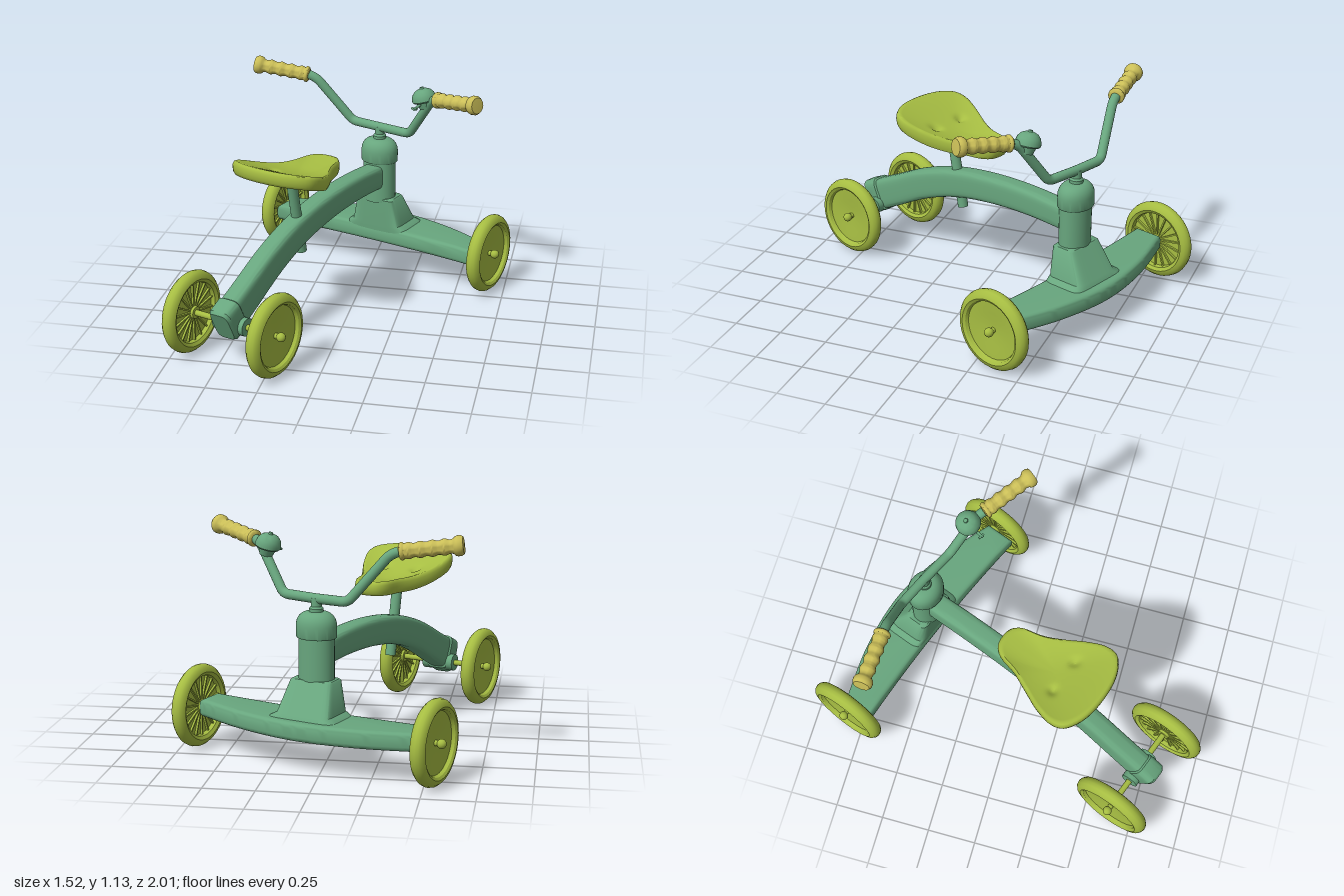
import * as THREE from 'three';
import { toCreasedNormals } from 'three/addons/utils/BufferGeometryUtils.js';

const V = (x, y, z) => new THREE.Vector3(x, y, z);
const green = new THREE.MeshStandardMaterial({ color: 0x68a67e });
const lime = new THREE.MeshStandardMaterial({ color: 0xa6bd42 });
const yellow = new THREE.MeshStandardMaterial({ color: 0xcbbf58 });

function add(parent, name, geometry, material, x = 0, y = 0, z = 0) {
  const mesh = new THREE.Mesh(geometry, material);
  mesh.name = name;
  mesh.position.set(x, y, z);
  parent.add(mesh);
  return mesh;
}

// Skin over closed rings of equal length, capped at both ends
function loft(rings, crease = 0.7) {
  const pos = [], n = rings[0].length;
  const tri = (...ps) => ps.forEach(p => pos.push(p.x, p.y, p.z));
  const mid = ring => ring.reduce((s, p) => s.add(p), V(0, 0, 0)).divideScalar(n);
  const first = rings[0], last = rings[rings.length - 1];
  const c0 = mid(first), c1 = mid(last);
  for (let j = 0; j < n; j++) {
    const k = (j + 1) % n;
    tri(c0, first[k], first[j]);
    tri(c1, last[j], last[k]);
    for (let i = 0; i < rings.length - 1; i++) {
      const a = rings[i], b = rings[i + 1];
      tri(a[j], a[k], b[k]);
      tri(a[j], b[k], b[j]);
    }
  }
  const g = new THREE.BufferGeometry();
  g.setAttribute('position', new THREE.Float32BufferAttribute(pos, 3));
  return toCreasedNormals(g, crease);
}

// Rounded rectangle ring spanned by half-axes a and b
function roundRect(c, a, b, n = 32, power = 0.45) {
  const f = v => Math.sign(v) * Math.abs(v) ** power;
  return Array.from({ length: n }, (_, i) => {
    const t = (i + 0.5) / n * Math.PI * 2;
    return c.clone().addScaledVector(a, f(Math.cos(t))).addScaledVector(b, f(Math.sin(t)));
  });
}

function lathe(points, seg = 36, crease = 0.6) {
  return toCreasedNormals(new THREE.LatheGeometry(points.map(p => new THREE.Vector2(...p)), seg), crease);
}

// Straight rod between two points
function rod(parent, name, a, b, r, material) {
  const m = add(parent, name, new THREE.CylinderGeometry(r, r, a.distanceTo(b), 18), material);
  m.position.copy(a).lerp(b, 0.5);
  m.quaternion.setFromUnitVectors(V(0, 1, 0), b.clone().sub(a).normalize());
  return m;
}

// Polyline with rounded bends
function bentPath(pts, r) {
  const path = new THREE.CurvePath();
  let from = pts[0];
  for (let i = 1; i < pts.length - 1; i++) {
    const p = pts[i];
    const before = p.clone().addScaledVector(pts[i - 1].clone().sub(p).normalize(), r);
    const after = p.clone().addScaledVector(pts[i + 1].clone().sub(p).normalize(), r);
    path.add(new THREE.LineCurve3(from, before));
    path.add(new THREE.QuadraticBezierCurve3(before, p, after));
    from = after;
  }
  path.add(new THREE.LineCurve3(from, pts[pts.length - 1]));
  return path;
}

// Wheel around the x axis with its outer face towards +x
function makeWheel(name) {
  const wheel = new THREE.Group();
  wheel.name = name;
  const profile = [[0, -0.03], [0.03, -0.03], [0.034, -0.006], [0.148, -0.006], [0.153, -0.028], [0.17, -0.038],
    [0.19, -0.032], [0.203, -0.017], [0.207, 0], [0.203, 0.017], [0.19, 0.032], [0.17, 0.038], [0.157, 0.03],
    [0.15, 0.014], [0.09, 0.01], [0.035, 0.004], [0, 0.004]];
  add(wheel, 'tyreAndDisc', lathe(profile, 40).rotateZ(-Math.PI / 2), lime);
  add(wheel, 'axleCap', new THREE.SphereGeometry(0.023, 16, 10), lime, 0.036);
  rod(wheel, 'axleEnd', V(-0.05, 0, 0), V(0.036, 0, 0), 0.014, lime);
  for (let i = 0; i < 18; i++) {
    const spoke = add(wheel, 'spoke', new THREE.BoxGeometry(0.014, 0.125, 0.008).translate(-0.01, 0.09, 0), lime);
    spoke.rotation.x = i / 18 * Math.PI * 2;
  }
  return wheel;
}

export function createModel() {
  const model = new THREE.Group();
  model.name = 'rideOnBike';

  // Chassis: origin under the head tube, +z to the tail, turned on the ground
  const body = new THREE.Group();
  body.name = 'chassis';
  body.position.set(0.043, 0, -0.54);
  body.rotation.y = -20.8 * Math.PI / 180;
  model.add(body);

  // Wheels and rear axle
  for (const [end, u, v] of [['front', 0.647, -0.045], ['rear', 0.245, 1.35]])
    for (const s of [1, -1]) {
      const wheel = makeWheel(end + (s > 0 ? 'LeftWheel' : 'RightWheel'));
      wheel.position.set(s * u, 0.21, v);
      wheel.rotation.y = s > 0 ? 0 : Math.PI;
      body.add(wheel);
    }
  rod(body, 'rearAxle', V(-0.24, 0.21, 1.35), V(0.24, 0.21, 1.35), 0.015, lime);
  for (const s of [1, -1])
    rod(body, 'axleCollar', V(s * 0.04, 0.21, 1.35), V(s * 0.088, 0.21, 1.35), 0.045, green);

  // Front cross beam, bowed at its leading edge
  const beam = new THREE.Shape();
  beam.moveTo(-0.62, 0.075);
  beam.lineTo(-0.62, -0.08);
  beam.splineThru([[-0.315, -0.18], [0, -0.222], [0.315, -0.18], [0.62, -0.08]].map(p => new THREE.Vector2(...p)));
  beam.lineTo(0.62, 0.075);
  beam.quadraticCurveTo(0, 0.03, -0.62, 0.075);
  const beamGeo = new THREE.ExtrudeGeometry(beam, { depth: 0.042, bevelThickness: 0.024, bevelSize: 0.024,
    bevelOffset: -0.024, bevelSegments: 4, curveSegments: 10 });
  add(body, 'frontBeam', toCreasedNormals(beamGeo.rotateX(Math.PI / 2), 0.7), green, 0, 0.228, 0);

  // Tapered pedestal flaring into the beam
  const pedestal = [[0.2, 0.22, -0.185, 0.05], [0.245, 0.19, -0.18, 0.053], [0.27, 0.145, -0.155, 0.055],
    [0.415, 0.112, -0.075, 0.06], [0.422, 0.104, -0.068, 0.053]];
  add(body, 'pedestal', loft(pedestal.map(([y, w, v0, v1]) =>
    roundRect(V(0, y, (v0 + v1) / 2), V(0, 0, (v1 - v0) / 2), V(w, 0, 0), 40, 0.3))), green);

  // Head tube, domed cap and stem, slightly wider than deep
  add(body, 'headTube', new THREE.CylinderGeometry(0.09, 0.09, 0.24, 32), green, 0, 0.52, 0).scale.z = 0.82;
  const cap = [[0, 0.62], [0.097, 0.62], [0.101, 0.626], [0.101, 0.68]];
  for (let i = 1; i <= 6; i++) {
    const a = i / 6 * Math.PI / 2;
    cap.push([0.04 + 0.061 * Math.cos(a), 0.68 + 0.065 * Math.sin(a)]);
  }
  cap.push([0, 0.747]);
  add(body, 'headCap', lathe(cap), green).scale.z = 0.84;
  add(body, 'stem', lathe([[0, 0.73], [0.034, 0.73], [0.034, 0.76], [0.026, 0.77], [0.026, 0.81], [0, 0.81]], 20), green);

  // Arched backbone with a wider tail cap
  const spine = new THREE.CatmullRomCurve3([V(0, 0.54, 0), V(0, 0.553, 0.26), V(0, 0.543, 0.52), V(0, 0.5, 0.79),
    V(0, 0.423, 1.02), V(0, 0.315, 1.24), V(0, 0.223, 1.43)]);
  const section = (t, grow = 0) => {
    const d = spine.getPointAt(t).clone(), g = spine.getTangentAt(t);
    return roundRect(d, V(0.055 + grow, 0, 0),
      V(0, g.z, -g.y).multiplyScalar(0.064 + 0.022 * t + grow));
  };
  add(body, 'backbone', loft(Array.from({ length: 25 }, (_, i) => section(i / 25))), green);
  add(body, 'tailCap', loft([[0.93, 0], [0.935, 0.008], [0.99, 0.008], [1, -0.004]].map(a => section(...a))), green);

  // Saddle: dished top, rolled rim and recessed underside
  rod(body, 'seatPost', V(0, 0.37, 0.755), V(0, 0.765, 0.835), 0.027, green);
  const side = [[0.085, 0.53], [0.115, 0.64], [0.165, 0.75], [0.212, 0.85], [0.238, 0.95], [0.222, 1.015], [0.14, 1.068]];
  const outline = new THREE.CatmullRomCurve3([...side.map(([u, v]) => V(u, 0, v)), V(0, 0, 1.088),
    ...side.slice().reverse().map(([u, v]) => V(-u, 0, v)), V(-0.045, 0, 0.492), V(0.045, 0, 0.492)], true).getPoints(72).slice(0, 72);
  const rimHeight = v => 0.805 + 0.105 * THREE.MathUtils.smoothstep(v, 0.68, 1.12);
  const dimple = (u, v) => 0.022 * Math.exp(-((Math.abs(u) - 0.09) ** 2 + (v - 0.857) ** 2) / 0.0006);
  const seatRing = (s, drop, top) => outline.map(p => {
    const u = p.x * s, v = 0.82 + (p.z - 0.82) * s;
    return V(u, rimHeight(v) - drop - (top ? dimple(u, v) : 0), v);
  });
  const seatRings = [];
  for (let i = 0; i <= 18; i++) {
    const s = 0.02 + 0.92 * i / 18;
    seatRings.push(seatRing(s, 0.03 * (1 - s * s), true));
  }
  for (const [s, drop] of [[0.975, 0.008], [0.995, 0.022], [1, 0.04], [0.99, 0.06], [0.965, 0.074], [0.93, 0.076],
    [0.9, 0.06], [0.7, 0.058], [0.35, 0.062], [0.05, 0.065]]) seatRings.push(seatRing(s, drop, false));
  add(body, 'saddle', loft(seatRings, 0.9), lime);

  // Handlebar, steered on its own angle
  const bar = new THREE.Group();
  bar.name = 'handlebar';
  model.add(bar);
  const rightGrip = [V(-0.355, 1.052, -0.605), V(-0.65, 1.09, -0.615)];
  const leftGrip = [V(0.375, 1.045, -0.32), V(0.605, 1.088, -0.138)];
  const barPath = bentPath([rightGrip[0], V(-0.31, 1.035, -0.603), V(-0.115, 0.808, -0.61), V(0.043, 0.806, -0.54),
    V(0.215, 0.808, -0.455), V(0.345, 1.03, -0.35), leftGrip[0]], 0.03);
  add(bar, 'barTube', new THREE.TubeGeometry(barPath, 90, 0.024, 16), green);

  // Grips with finger waves and flanged ends
  for (const [name, [a, b]] of [['rightGrip', rightGrip], ['leftGrip', leftGrip]]) {
    const L = a.distanceTo(b), prof = [[0, 0], [0.036, 0], [0.042, 0.006], [0.042, 0.016], [0.036, 0.022]];
    for (let i = 0; i <= 32; i++) prof.push([0.036 + 0.0035 * Math.sin(i / 32 * Math.PI * 8), 0.028 + (L - 0.075) * i / 32]);
    prof.push([0.044, L - 0.04], [0.048, L - 0.03], [0.048, L - 0.012], [0.04, L], [0, L + 0.002]);
    const grip = add(bar, name, lathe(prof, 24, 0.8), yellow);
    grip.position.copy(a);
    grip.quaternion.setFromUnitVectors(V(0, 1, 0), b.clone().sub(a).normalize());
  }

  // Bell with thumb lever
  const bell = new THREE.Group();
  bell.name = 'bell';
  bell.position.set(0.303, 1.025, -0.38);
  bell.quaternion.setFromUnitVectors(V(0, 1, 0), V(-0.25, 0.95, -0.1).normalize());
  bar.add(bell);
  add(bell, 'bellDome', lathe([[0, -0.012], [0.055, -0.012], [0.063, -0.004], [0.063, 0.006], [0.057, 0.03],
    [0.042, 0.048], [0.022, 0.057], [0.012, 0.058], [0.01, 0.066], [0, 0.067]], 28), green);
  add(bell, 'bellBase', new THREE.CylinderGeometry(0.045, 0.032, 0.04, 20), green, 0, -0.028, 0);
  rod(bar, 'bellLever', V(0.295, 1.01, -0.36), V(0.262, 0.995, -0.295), 0.007, green);
  rod(bar, 'bellLeverTip', V(0.25, 0.997, -0.31), V(0.278, 0.997, -0.296), 0.006, green);

  return model;
}
